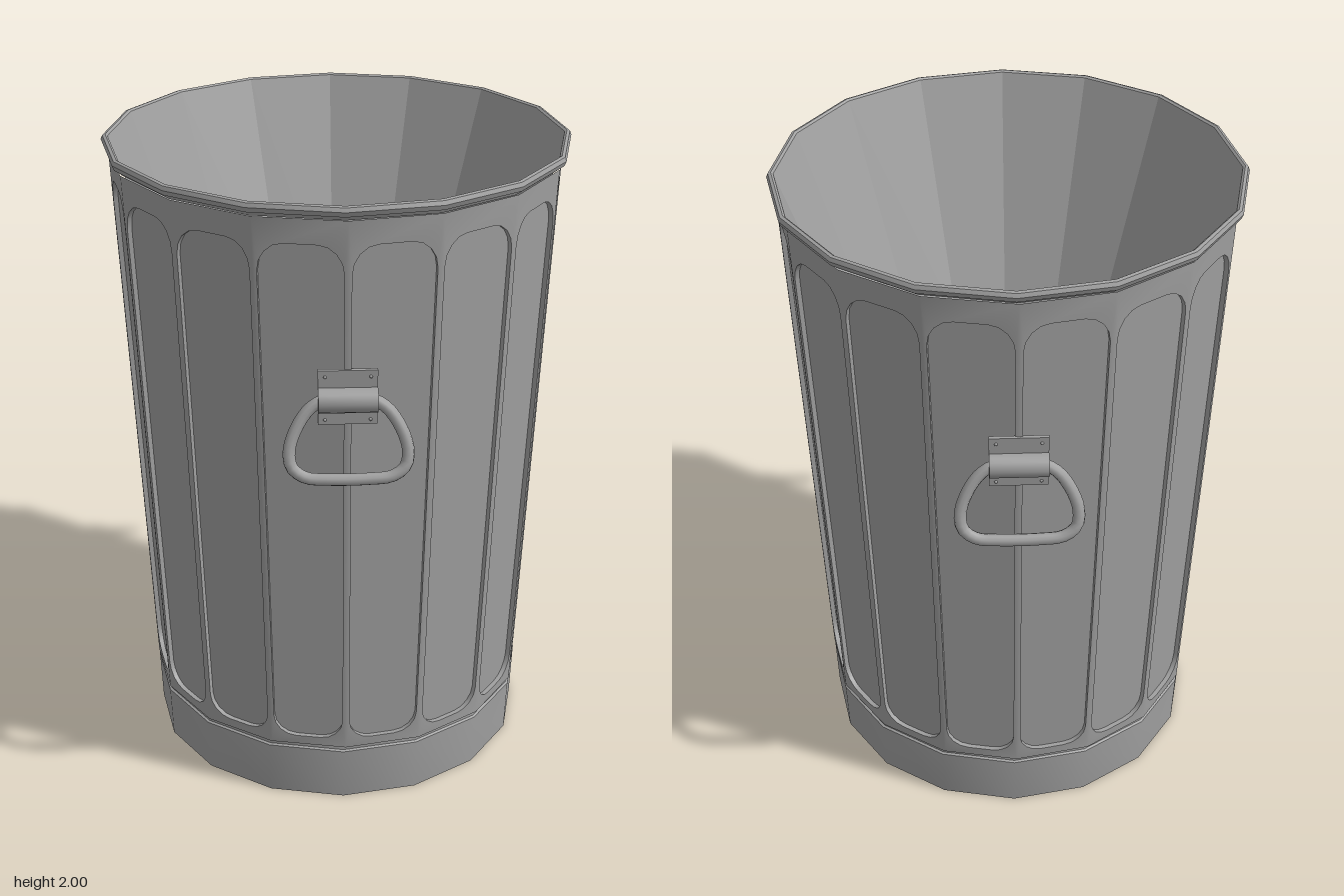
import * as THREE from 'three';
import { mergeGeometries, toCreasedNormals } from 'three/addons/utils/BufferGeometryUtils.js';

const SIDES = 16;
const HALF = Math.PI / SIDES;
const Y0 = 0.19, Y1 = 1.955;      // fluted wall, bottom and top
const RECESS = 0.015;
const TWIST = 0.012;              // fluted wall is turned slightly against the rim
const radius = (y) => 0.608 + (0.69 - 0.608) * (y - Y0) / (Y1 - Y0);

const steel = new THREE.MeshStandardMaterial({ color: 0xa0a0a0 });
steel.name = 'steel grey';

function addMesh(parent, name, geometry) {
  const mesh = new THREE.Mesh(geometry, steel);
  mesh.name = name;
  parent.add(mesh);
  return mesh;
}

// Sixteen-sided ring; profile runs upwards on the outside
function lathe(profile, crease) {
  const g = new THREE.LatheGeometry(profile.map(([r, y]) => new THREE.Vector2(r, y)), SIDES);
  return toCreasedNormals(g, crease);
}

// Outline of one recessed panel, counter-clockwise, with rounded corners
function panelOutline() {
  const points = [];
  const bottom = { end: 0.22, up: -1, rx: 0.07, ry: 0.07 };
  const top = { end: 1.88, up: 1, rx: 0.075, ry: 0.085 };
  const corners = [{ side: 1, ...bottom }, { side: 1, ...top }, { side: -1, ...top }, { side: -1, ...bottom }];
  for (const { side, end, up, rx, ry } of corners) {
    for (let i = 0; i <= 4; i++) {
      const k = side * up > 0 ? i : 4 - i;
      const a = k / 4 * Math.PI / 2;
      const y = end - up * ry * (1 - Math.sin(a));
      const halfWidth = radius(y) * Math.sin(HALF) - 0.011;
      points.push(new THREE.Vector2(side * (halfWidth - rx * (1 - Math.cos(a))), y));
    }
  }
  return points;
}

// Positions only, so that the pieces merge
function bare(geometry) {
  const g = geometry.toNonIndexed();
  g.deleteAttribute('normal');
  g.deleteAttribute('uv');
  return g;
}

// One flat facet of the wall: frame with a hole, sunken panel, and the step between
function facetGeometry() {
  const outline = panelOutline();
  const b = radius(Y0) * Math.sin(HALF), t = radius(Y1) * Math.sin(HALF);
  const frame = new THREE.Shape([[-b, Y0], [b, Y0], [t, Y1], [-t, Y1]].map(([x, y]) => new THREE.Vector2(x, y)));
  frame.holes.push(new THREE.Path(outline));
  const panel = new THREE.ShapeGeometry(new THREE.Shape(outline)).translate(0, 0, -RECESS);

  const step = [];
  outline.forEach((p, i) => {
    const q = outline[(i + 1) % outline.length];
    step.push(p.x, p.y, 0, q.x, q.y, 0, p.x, p.y, -RECESS);
    step.push(q.x, q.y, 0, q.x, q.y, -RECESS, p.x, p.y, -RECESS);
  });
  const walls = new THREE.BufferGeometry();
  walls.setAttribute('position', new THREE.Float32BufferAttribute(step, 3));

  const g = mergeGeometries([bare(new THREE.ShapeGeometry(frame)), bare(panel), walls]);
  // Lean the facet outwards to follow the taper
  const pos = g.attributes.position;
  for (let i = 0; i < pos.count; i++) {
    pos.setZ(i, pos.getZ(i) + radius(pos.getY(i)) * Math.cos(HALF));
  }
  return g;
}

function makeHandle() {
  const handle = new THREE.Group();
  const lean = Math.atan((radius(Y1) - radius(Y0)) / (Y1 - Y0));

  // Backing plate with small rivets
  const bracket = new THREE.Group();
  bracket.name = 'handleBracket';
  bracket.position.set(0, 1.425, radius(1.425));
  bracket.rotation.x = lean;
  handle.add(bracket);
  addMesh(bracket, 'handlePlate', new THREE.BoxGeometry(0.17, 0.17, 0.012));
  for (const x of [-0.065, 0.065]) {
    for (const y of [-0.07, 0.065]) {
      const rivet = addMesh(bracket, 'rivet', new THREE.SphereGeometry(0.005, 8, 6));
      rivet.position.set(x, y, 0.006);
    }
  }

  // Rolled sleeve that holds the ring
  const sleeve = addMesh(handle, 'handleSleeve',
    toCreasedNormals(new THREE.CylinderGeometry(0.037, 0.037, 0.17, 16).rotateZ(Math.PI / 2), 0.6));
  sleeve.position.set(0, 1.42, 0.678);

  // D-shaped ring hanging outwards
  const half = [[0.07, 1.422], [0.11, 1.4], [0.148, 1.347], [0.169, 1.285], [0.162, 1.238], [0.125, 1.21], [0.06, 1.203]];
  const loop = [...half, ...half.slice().reverse().map(([x, y]) => [-x, y])];
  const path = new THREE.CatmullRomCurve3(
    loop.map(([x, y]) => new THREE.Vector3(x, y, 0.683 + (1.425 - y) * 0.27)), true);
  addMesh(handle, 'handleRing', new THREE.TubeGeometry(path, 48, 0.018, 10, true));
  return handle;
}

export function createModel() {
  const bin = new THREE.Group();
  bin.name = 'bin';

  // Foot band with a small groove above it
  addMesh(bin, 'base', lathe([[0, 0], [0.6, 0], [0.607, 0.172], [0.6, 0.176], [0.6, 0.186], [0.608, Y0]], 0.5));

  // Fluted wall
  const facets = [];
  for (let i = 0; i < SIDES; i++) facets.push(facetGeometry().rotateY((2 * i + 1) * HALF + TWIST));
  addMesh(bin, 'flutedWall', toCreasedNormals(mergeGeometries(facets), 0.5));

  // Rolled rim
  addMesh(bin, 'rim', lathe([[0.685, Y1], [0.69, 1.965], [0.705, 1.97], [0.711, 1.985],
    [0.706, 1.997], [0.697, 2], [0.69, 1.995]], 0.5));

  // Tapered lining and floor
  addMesh(bin, 'interior', lathe([[0.69, 1.995], [0.425, 1.25], [0, 1.25]], 0.2));

  // Handles on the front and back
  ['frontHandle', 'backHandle'].forEach((name, i) => {
    const handle = makeHandle();
    handle.name = name;
    handle.rotation.y = i * Math.PI + TWIST;
    bin.add(handle);
  });
  return bin;
}
